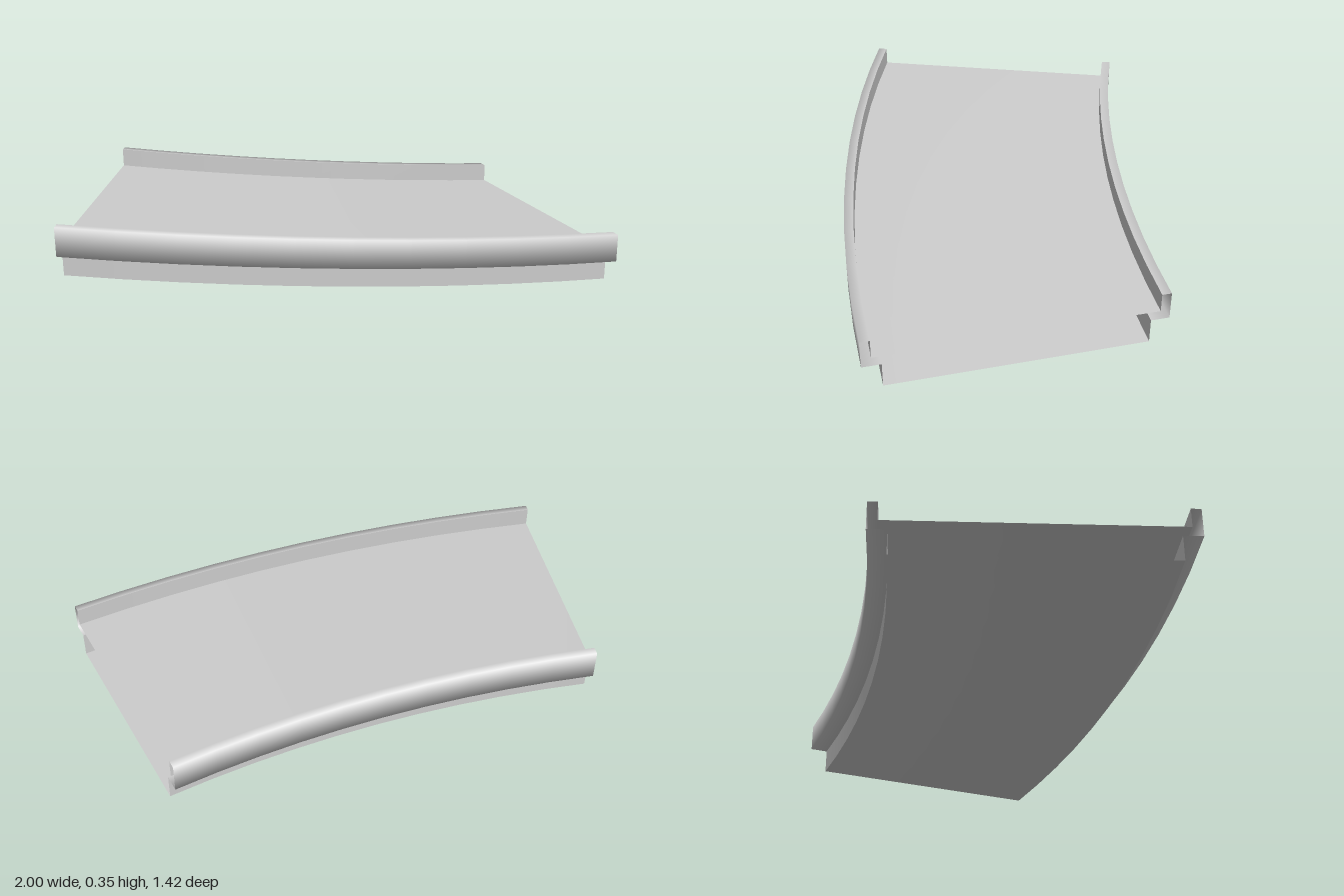
import * as THREE from 'three';

// Sweep: arc around a vertical axis, descending steadily from the left end to the right end
const R_IN = 4.124, R_OUT = 5.226, ARC = Math.PI / 8;
const CX = -1, CZ = 0.708 - R_OUT;
const DROP = 0.147, SEGMENTS = 10;
const RAIL = 0.036, INSET = 0.07;                    // rail width, body set-in
const UNDER = 0.094, DECK = 0.129, TOP = 0.2;        // heights above the floor

// Closed hollow cross-section: [radius, height, smooth corner?, part that starts here]
const profile = [
  [R_IN + RAIL, DECK, false, 'deck'],
  [R_OUT - RAIL, DECK, false, 'outerRailInnerFace'],
  [R_OUT - RAIL, TOP, false, 'outerRailTop'],
  [R_OUT, TOP, true, 'outerRailSide'],
  [R_OUT, UNDER, true, 'outerRailUnderside'],
  [R_OUT - INSET, UNDER, false, 'outerWall'],
  [R_OUT - INSET, 0, false, 'floor'],
  [R_IN + INSET, 0, false, 'innerWall'],
  [R_IN + INSET, UNDER, false, 'innerRailUnderside'],
  [R_IN, UNDER, true, 'innerRailSide'],
  [R_IN, TOP, true, 'innerRailTop'],
  [R_IN + RAIL, TOP, false, 'innerRailInnerFace'],
];
const COUNT = profile.length;

// Outward normal of a profile edge, as (radial, up)
function edgeNormal(i) {
  const p = profile[(i + COUNT) % COUNT], q = profile[(i + 1) % COUNT];
  return new THREE.Vector2(p[1] - q[1], q[0] - p[0]).normalize();
}

// Sweep one profile edge along the arc
function sweepEdge(i) {
  const next = (i + 1) % COUNT;
  const own = edgeNormal(i);
  const ends = [
    [profile[i], profile[i][2] ? own.clone().add(edgeNormal(i - 1)).normalize() : own],
    [profile[next], profile[next][2] ? own.clone().add(edgeNormal(i + 1)).normalize() : own],
  ];
  const positions = [], normals = [], index = [];
  for (let s = 0; s <= SEGMENTS; s++) {
    const t = s / SEGMENTS, a = t * ARC, sin = Math.sin(a), cos = Math.cos(a);
    for (const [[r, h], n] of ends) {
      positions.push(CX + r * sin, h + DROP * (1 - t), CZ + r * cos);
      const along = n.y * DROP / (r * ARC);          // tilt with the slope
      const v = new THREE.Vector3(n.x * sin + along * cos, n.y, n.x * cos - along * sin).normalize();
      normals.push(v.x, v.y, v.z);
    }
    if (s < SEGMENTS) {
      const k = s * 2;
      index.push(k, k + 1, k + 2, k + 1, k + 3, k + 2);
    }
  }
  const geometry = new THREE.BufferGeometry();
  geometry.setAttribute('position', new THREE.Float32BufferAttribute(positions, 3));
  geometry.setAttribute('normal', new THREE.Float32BufferAttribute(normals, 3));
  geometry.setIndex(index);
  return geometry;
}

export function createModel() {
  const model = new THREE.Group();
  model.name = 'curvedRamp';
  // Open-ended shell, so both sides show
  const material = new THREE.MeshStandardMaterial({ color: 0xcccccc, side: THREE.DoubleSide });
  profile.forEach((point, i) => {
    const mesh = new THREE.Mesh(sweepEdge(i), material);
    mesh.name = point[3];
    model.add(mesh);
  });
  return model;
}
